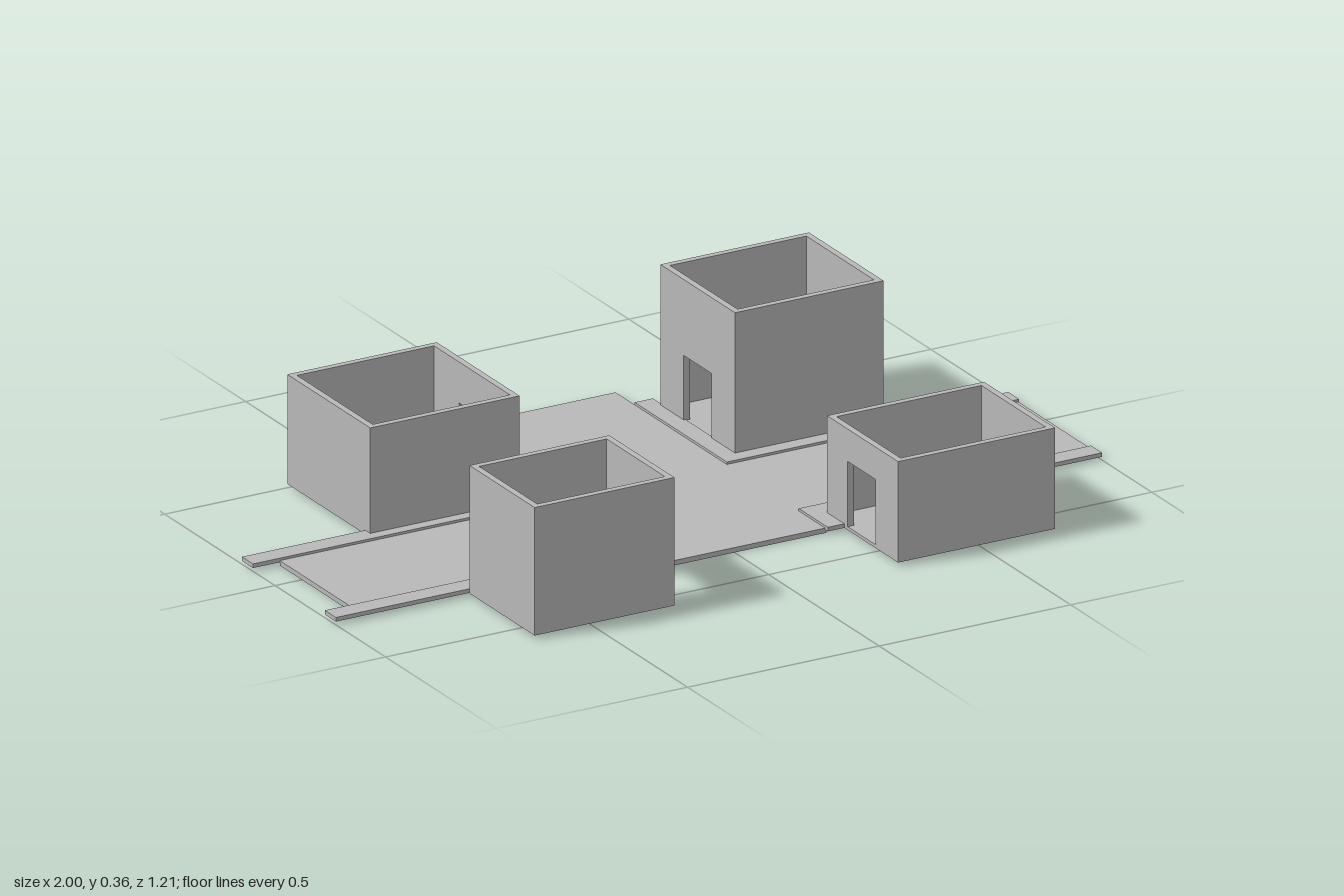
import * as THREE from 'three';

const grey = new THREE.MeshStandardMaterial({ color: 0xb8b8b8 });
grey.name = 'plaster grey';

// Box given by its limits on each axis
function block(name, x0, x1, y0, y1, z0, z1) {
  const mesh = new THREE.Mesh(new THREE.BoxGeometry(x1 - x0, y1 - y0, z1 - z0), grey);
  mesh.position.set((x0 + x1) / 2, (y0 + y1) / 2, (z0 + z1) / 2);
  mesh.name = name;
  return mesh;
}

const WALL = 0.016, BASE = 0.008, FLOOR = 0.016;

// Wall across x with a doorway cut up from its foot
function doorWall(x, z0, z1, top, doorZ0, doorZ1, doorTop) {
  const outline = [[z0, FLOOR], [doorZ0, FLOOR], [doorZ0, doorTop], [doorZ1, doorTop],
    [doorZ1, FLOOR], [z1, FLOOR], [z1, top], [z0, top]];
  const shape = new THREE.Shape(outline.map(([a, b]) => new THREE.Vector2(a, b)));
  const geometry = new THREE.ExtrudeGeometry(shape, { depth: WALL, bevelEnabled: false });
  geometry.rotateY(-Math.PI / 2);
  geometry.translate(x + WALL, 0, 0);
  const mesh = new THREE.Mesh(geometry, grey);
  mesh.name = 'doorWall';
  return mesh;
}

// Open-topped house whose doorway faces the cross street
function house({ name, x: [x0, x1], z: [z0, z1], top, door, bench }) {
  const group = new THREE.Group();
  group.name = name;
  const onLeft = x0 > 0; // the doorway is on the wall nearest x = 0
  const plainX = onLeft ? x1 - WALL : x0;
  const doorX = onLeft ? x0 : x1 - WALL;
  const [bx, bz] = bench;
  group.add(
    block('floor', x0, x1, BASE, FLOOR, z0, z1),
    block('backWall', x0 + WALL, x1 - WALL, FLOOR, top, z0, z0 + WALL),
    block('frontWall', x0 + WALL, x1 - WALL, FLOOR, top, z1 - WALL, z1),
    block('outerWall', plainX, plainX + WALL, FLOOR, top, z0, z1),
    doorWall(doorX, z0, z1, top, door[0], door[1], 0.175),
    block('bench', bx, bx + 0.053, FLOOR, 0.06, bz, bz + 0.096)
  );
  return group;
}

export function createModel() {
  const model = new THREE.Group();
  model.name = 'crossroads';

  // Roads
  const roadTop = 0.012;
  model.add(
    block('mainRoad', -0.93, 0.998, 0, roadTop, -0.1, 0.225),
    block('crossRoadBack', -0.24, 0.24, 0, roadTop, -0.515, -0.1),
    block('crossRoadFront', -0.24, 0.24, 0, roadTop, 0.225, 0.345)
  );
  const end = new THREE.Mesh(new THREE.PlaneGeometry(0.475, 0.09), grey);
  end.rotation.x = -Math.PI / 2;
  end.position.set(0, roadTop, -0.56);
  end.name = 'roadEndSheet';
  model.add(end);

  // L-shaped pavements at the four corners
  for (const s of [-1, 1]) {
    const span = (a, b) => (s > 0 ? [a, b] : [-b, -a]);
    const long = span(0.237, 1), short = span(0.237, 0.285);
    model.add(
      block('pavementBack', ...long, BASE, 0.018, -0.15, -0.1),
      block('pavementFront', ...long, BASE, 0.018, 0.225, 0.275),
      block('sidePavementBack', ...short, BASE, 0.018, -0.518, -0.15),
      block('sidePavementFront', ...short, BASE, 0.018, 0.275, 0.357)
    );
  }

  // Houses
  const houses = [
    { name: 'backRightHouse', x: [-0.678, -0.288], z: [-0.503, -0.128], top: 0.275, door: [-0.375, -0.25], bench: [-0.627, -0.436] },
    { name: 'backLeftHouse', x: [0.28, 0.668], z: [-0.476, -0.138], top: 0.36, door: [-0.37, -0.245], bench: [0.562, -0.29] },
    { name: 'frontRightHouse', x: [-0.653, -0.288], z: [0.278, 0.573], top: 0.32, door: [0.367, 0.492], bench: [-0.6, 0.307] },
    { name: 'frontLeftHouse', x: [0.28, 0.69], z: [0.278, 0.6], top: 0.254, door: [0.372, 0.497], bench: [0.578, 0.456] },
  ];
  for (const h of houses) model.add(house(h));
  return model;
}
